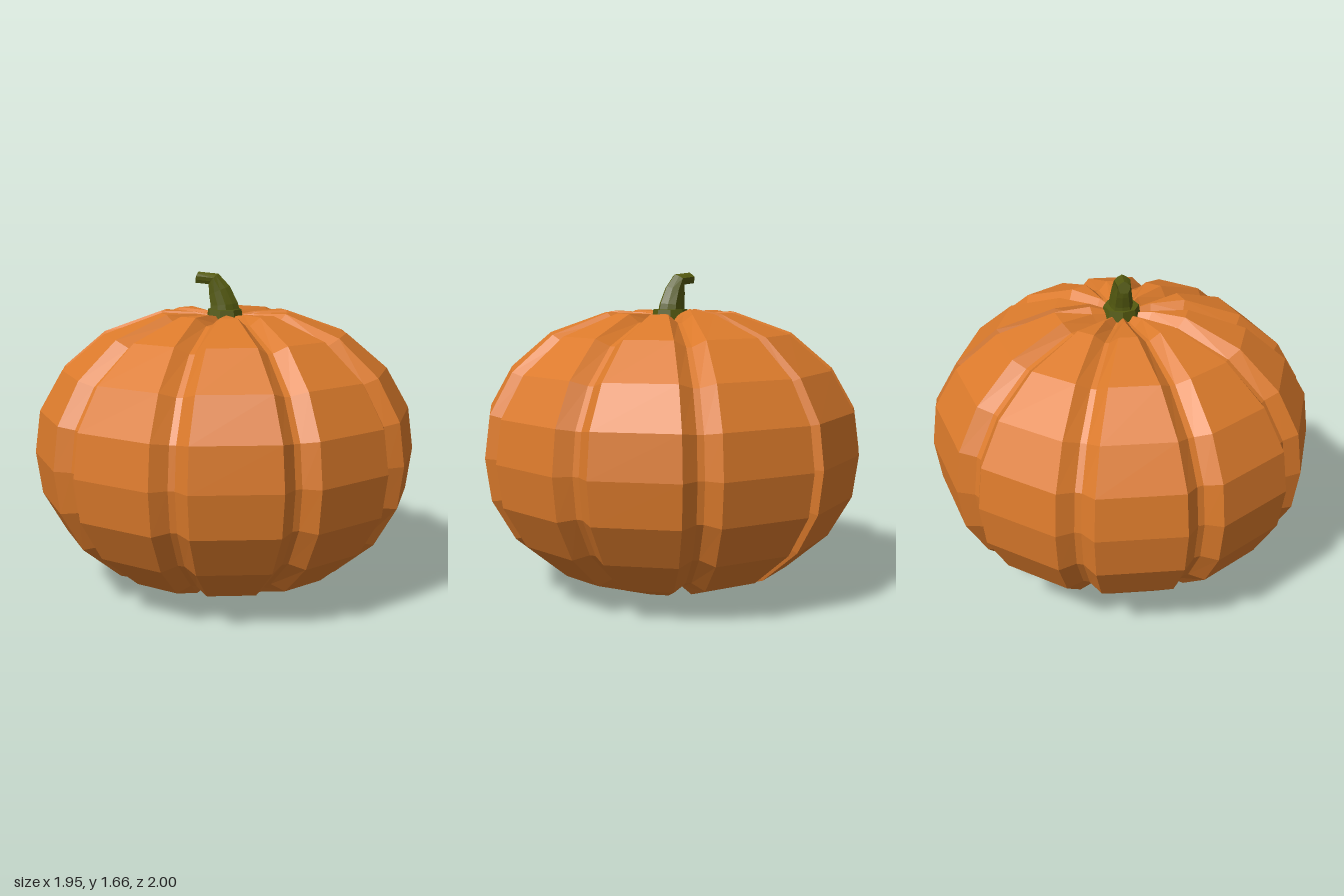
import * as THREE from 'three';

const V = (x, y, z) => new THREE.Vector3(x, y, z);

// Flat-shaded closed skin over equal-length rings, ordered bottom to top
function skin(rings) {
  const pos = [];
  const tri = (a, b, c) => {
    const area = b.clone().sub(a).cross(c.clone().sub(a)).length();
    if (area > 1e-9) for (const p of [a, b, c]) pos.push(p.x, p.y, p.z);
  };
  for (let i = 0; i < rings.length - 1; i++) {
    const n = rings[i].length;
    for (let j = 0; j < n; j++) {
      const k = (j + 1) % n;
      tri(rings[i][j], rings[i][k], rings[i + 1][k]);
      tri(rings[i][j], rings[i + 1][k], rings[i + 1][j]);
    }
  }
  const g = new THREE.BufferGeometry();
  g.setAttribute('position', new THREE.Float32BufferAttribute(pos, 3));
  g.computeVertexNormals();
  return g;
}

// Ribbed body: ten flat lobes separated by grooves, the back groove narrower
function bodyGeometry() {
  const midY = 0.742;
  const half = [[1, 0], [0.97, 0.22], [0.85, 0.43], [0.635, 0.613], [0.338, 0.72], [0.16, 0.715], [0, 0.69]];
  const profile = [
    ...half.slice(1).reverse().map(([r, y]) => [r, -y]),
    ...half,
  ];
  const rings = profile.map(([r, y]) => {
    const ring = [];
    for (let g = 0; g < 10; g++) {
      const back = g === 5;
      const angle = (g * Math.PI) / 5;
      const taper = Math.pow(r, 0.4);
      const wall = (back ? 0.036 : 0.093) * taper;
      const floor = (back ? 0.016 : 0.018) * taper;
      // lips of the back groove bulge out beside the poles
      const lipY = back && r === 0.16 ? Math.sign(y) * 0.74 : y;
      const isPole = r === 0;
      const deep = isPole ? 1 : 0.942;
      const corners = [[-wall, 1, lipY], [-floor, deep, y], [floor, deep, y], [wall, 1, lipY]];
      for (const [side, s, h] of corners) {
        const a = isPole ? 0 : angle + Math.asin(side / r);
        ring.push(V(Math.sin(a) * r * s, midY + h * s, Math.cos(a) * r * s));
      }
    }
    return ring;
  });
  return skin(rings);
}

// Bent stem: each section is [x, y, radius along the bend, radius in z, tilt]
function stemGeometry() {
  const sections = [
    [0, 1.45, 0, 0, 0],
    [0, 1.45, 0.082, 0.066, 0],
    [-0.005, 1.50, 0.074, 0.06, 0.1],
    [-0.03, 1.57, 0.06, 0.05, 0.4],
    [-0.06, 1.628, 0.038, 0.041, 0.85],
    [-0.149, 1.635, 0.031, 0.032, 1.35],
    [-0.149, 1.635, 0, 0, 1.35],
  ];
  const sides = 10;
  return skin(sections.map(([x, y, rx, rz, tilt]) => {
    const ring = [];
    for (let j = 0; j < sides; j++) {
      const a = ((j + 0.5) / sides) * Math.PI * 2;
      const flute = j % 2 ? 0.9 : 1.03;
      const u = Math.sin(a) * rx * flute;
      ring.push(V(x + u * Math.cos(tilt), y + u * Math.sin(tilt), Math.cos(a) * rz * flute));
    }
    return ring;
  }));
}

export function createModel() {
  const orange = new THREE.MeshStandardMaterial({ color: 0xdb7a2b });
  orange.name = 'pumpkin orange';
  const green = new THREE.MeshStandardMaterial({ color: 0x545a10 });
  green.name = 'stem green';

  const group = new THREE.Group();
  group.name = 'pumpkin';
  const add = (name, geometry, material) => {
    const mesh = new THREE.Mesh(geometry, material);
    mesh.name = name;
    group.add(mesh);
    return mesh;
  };

  add('body', bodyGeometry(), orange);
  add('stem', stemGeometry(), green);

  // Collar where the stem meets the body
  const collar = new THREE.CylinderGeometry(0.09, 0.098, 0.055, 8).toNonIndexed();
  collar.computeVertexNormals();
  add('stemCollar', collar, green).position.y = 1.448;

  return group;
}
